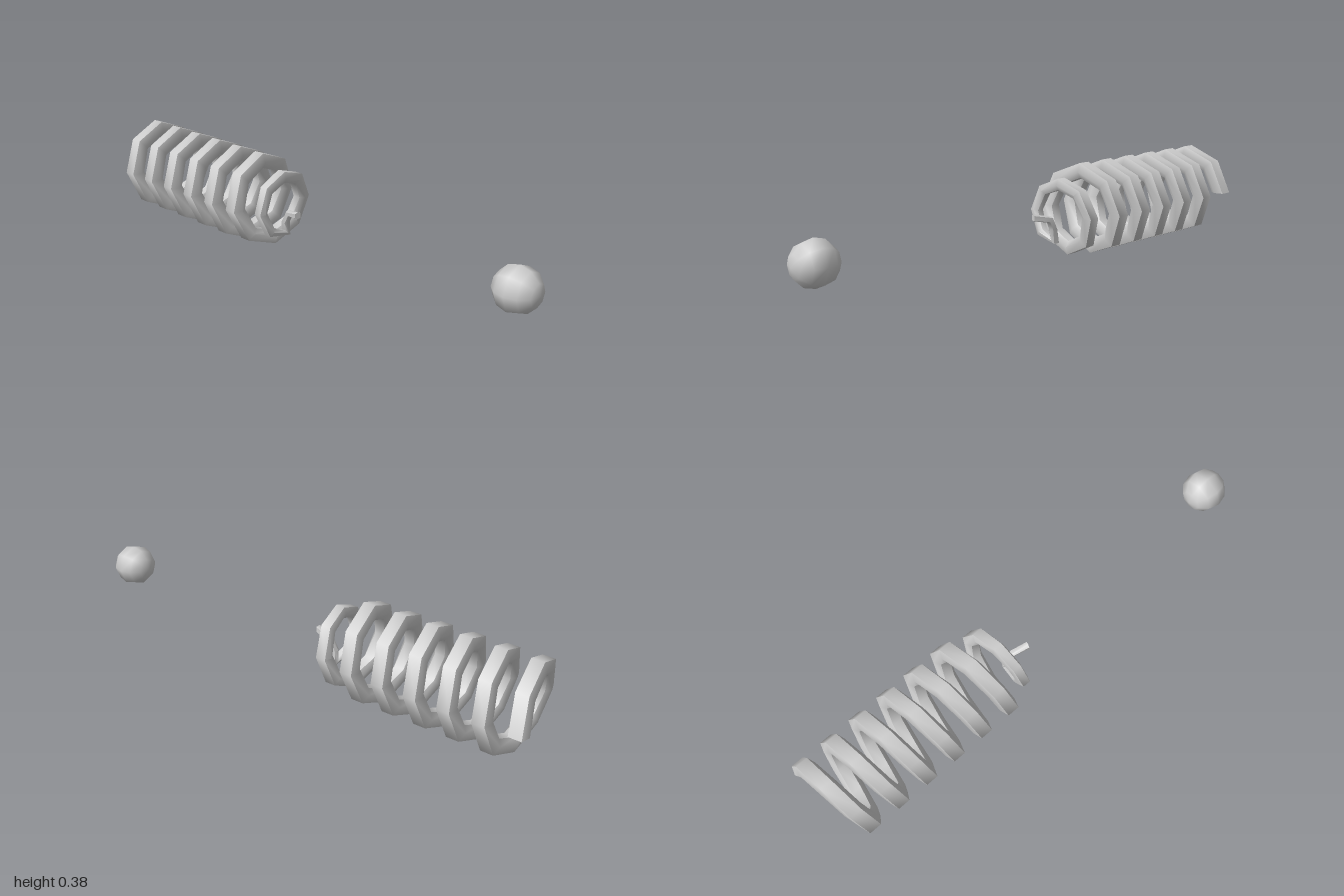
import * as THREE from 'three';
import { toCreasedNormals } from 'three/addons/utils/BufferGeometryUtils.js';

const AXIS_Y = 0.188, PITCH = 0.129, STEPS = 8;

// Hexagonal wire section: [radial, along axis]
const SECTION = [
  [0.03, -0.024], [0.03, 0.024], [-0.005, 0.035],
  [-0.03, 0.02], [-0.03, -0.02], [-0.005, -0.035],
];

const v = (x, y, z) => new THREE.Vector3(x, y, z);

// Skin the section along frames { p, u, w, s } and cap both ends
function sweep(frames) {
  const pos = [], idx = [], n = SECTION.length;
  for (const { p, u, w, s } of frames) {
    for (const [a, b] of SECTION) {
      const q = p.clone().addScaledVector(u, a * s).addScaledVector(w, b * s);
      pos.push(q.x, q.y, q.z);
    }
  }
  for (let i = 0; i < frames.length - 1; i++) {
    for (let j = 0; j < n; j++) {
      const a = i * n + j, b = i * n + (j + 1) % n;
      idx.push(a, a + n, b + n, a, b + n, b);
    }
  }
  const e = (frames.length - 1) * n;
  for (let j = 1; j < n - 1; j++) idx.push(0, j, j + 1, e, e + j + 1, e + j);
  const g = new THREE.BufferGeometry();
  g.setAttribute('position', new THREE.Float32BufferAttribute(pos, 3));
  g.setIndex(idx);
  return toCreasedNormals(g, 0.9);
}

function springFrames() {
  const frames = [];
  const add = (k, r, z, s) => {
    const t = (k / STEPS) * Math.PI * 2, u = v(Math.cos(t), Math.sin(t), 0);
    frames.push({ p: v(u.x * r, AXIS_Y + u.y * r, z), u, w: v(0, 0, 1), s });
  };
  // Even coils, from the back end forward
  for (let k = 0; k <= 44; k++) add(k, 0.158, -0.965 + (k * PITCH) / STEPS, 1);
  // Last coil narrows: [radius, z, wire scale]
  [
    [0.152, -0.239, 0.95], [0.145, -0.223, 0.9], [0.139, -0.207, 0.87],
    [0.132, -0.19, 0.83], [0.125, -0.175, 0.8], [0.118, -0.163, 0.75],
    [0.119, -0.157, 0.7], [0.122, -0.15, 0.65], [0.118, -0.143, 0.6],
  ].forEach(([r, z, s], i) => add(45 + i, r, z, s));
  // Thin tail turns up to the axis, then forward
  const h = Math.SQRT1_2;
  frames.push(
    { p: v(-0.005, 0.085, -0.136), u: v(h, -h, 0), w: v(0, 0, 1), s: 0.52 },
    { p: v(-0.012, 0.13, -0.132), u: v(1, 0, 0), w: v(0, 0, 1), s: 0.45 },
    { p: v(-0.01, 0.17, -0.112), u: v(1, 0, 0), w: v(0, -h, h), s: 0.42 },
    { p: v(-0.03, 0.184, -0.045), u: v(0.96, 0, 0.28), w: v(0, -1, 0), s: 0.4 },
  );
  return frames;
}

export function createModel() {
  const group = new THREE.Group();
  const material = new THREE.MeshStandardMaterial({ color: 0xcccccc });

  const spring = new THREE.Mesh(sweep(springFrames()), material);
  spring.name = 'coilSpring';
  group.add(spring);

  // Ball in front, poles along the spring axis
  const ball = new THREE.Mesh(new THREE.SphereGeometry(0.085, 8, 6), material);
  ball.name = 'ball';
  ball.rotation.x = Math.PI / 2;
  ball.position.set(-0.004, 0.19, 0.915);
  group.add(ball);

  return group;
}
